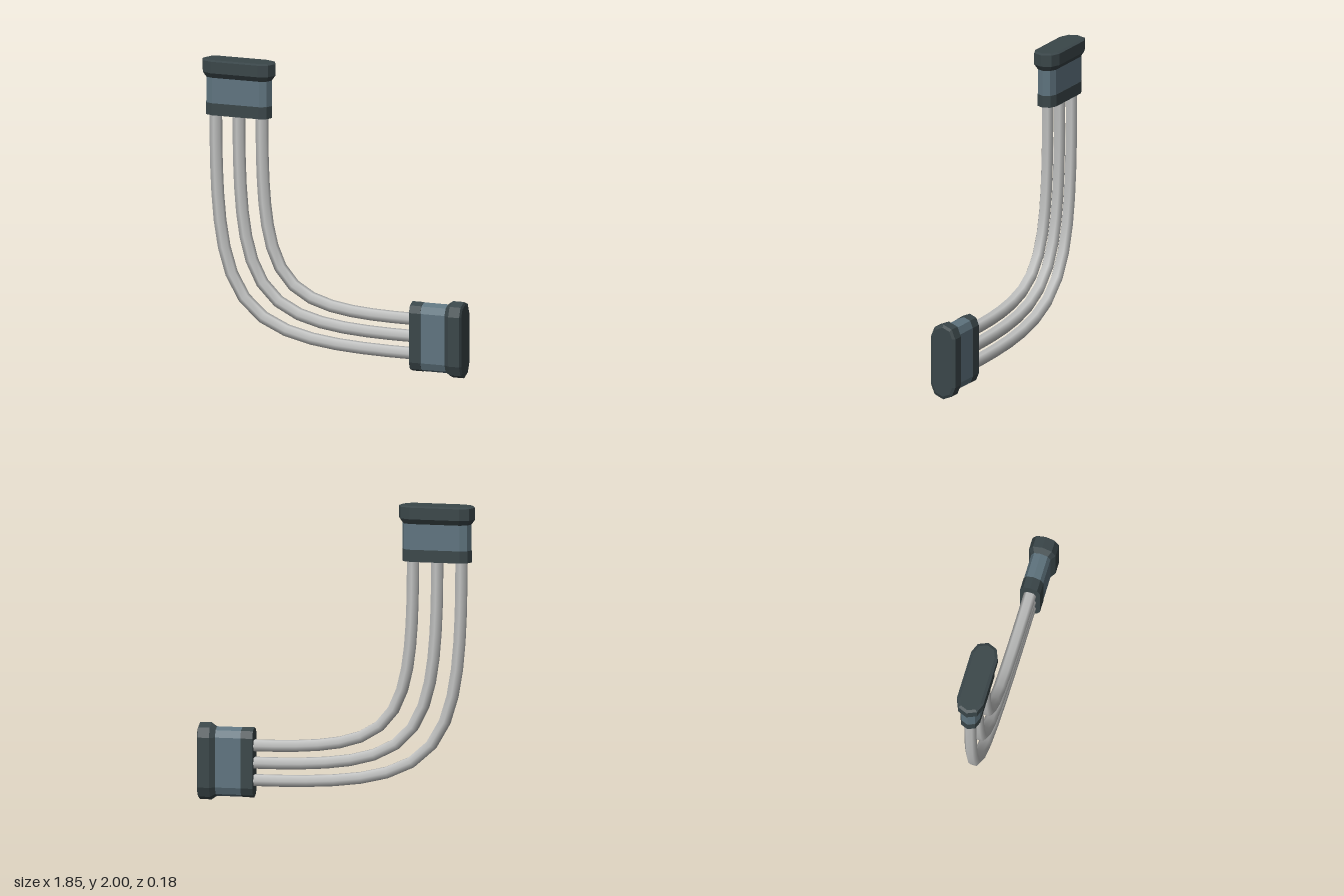
import * as THREE from 'three';

const HALF_STRAIGHT = 0.165;

// Stadium outline with four facets per rounded end, in the xz plane
function stadiumRing(y, r) {
  const ring = [];
  for (const side of [1, -1]) {
    for (let i = 0; i <= 4; i++) {
      const a = -Math.PI / 2 + (i * Math.PI) / 4;
      ring.push([side * (HALF_STRAIGHT + r * Math.cos(a)), y, side * r * Math.sin(a)]);
    }
  }
  return ring;
}

// Loft through [height, radius] sections, with optional end caps
function loftStadium(sections, capBottom, capTop) {
  const rings = sections.map(([y, r]) => stadiumRing(y, r));
  const n = rings[0].length;
  const pos = [];
  const tri = (a, b, c) => pos.push(...a, ...b, ...c);
  for (let k = 0; k < rings.length - 1; k++) {
    const lo = rings[k], hi = rings[k + 1];
    for (let i = 0; i < n; i++) {
      const j = (i + 1) % n;
      tri(lo[i], hi[i], hi[j]);
      tri(lo[i], hi[j], lo[j]);
    }
  }
  const bottom = rings[0], top = rings[rings.length - 1];
  for (let i = 1; i < n - 1; i++) {
    if (capBottom) tri(bottom[0], bottom[i], bottom[i + 1]);
    if (capTop) tri(top[0], top[i + 1], top[i]);
  }
  const geo = new THREE.BufferGeometry();
  geo.setAttribute('position', new THREE.Float32BufferAttribute(pos, 3));
  geo.computeVertexNormals();
  return geo;
}

export function createModel() {
  const group = new THREE.Group();
  const material = (name, color) => {
    const m = new THREE.MeshStandardMaterial({ color });
    m.name = name;
    return m;
  };
  const dark = material('dark slate', 0x3a4649);
  const slate = material('blue grey', 0x5f747f);
  const grey = material('light grey', 0xc2c3c2);

  const add = (parent, name, geo, mat) => {
    const mesh = new THREE.Mesh(geo, mat);
    mesh.name = name;
    parent.add(mesh);
  };

  // End connectors: collar, body and flared cap, built along +y
  const collar = loftStadium([[0, 0.067], [0.08, 0.067]], true, true);
  const body = loftStadium([[0.08, 0.065], [0.25, 0.065]], false, false);
  const cap = loftStadium([[0.25, 0.065], [0.285, 0.09], [0.362, 0.09], [0.37, 0.07]], true, true);
  const connector = (name, x, y, turn) => {
    const part = new THREE.Group();
    part.name = name;
    add(part, 'collar', collar, dark);
    add(part, 'connectorBody', body, slate);
    add(part, 'flaredCap', cap, dark);
    part.position.set(x, y, 0);
    part.rotation.z = turn;
    group.add(part);
  };
  connector('upperConnector', -0.67, 1.63, 0);
  connector('lowerConnector', 0.55, 0.257, -Math.PI / 2);

  // Three parallel pipes bending from the upper to the lower connector
  ['outerPipe', 'middlePipe', 'innerPipe'].forEach((name, i) => {
    const x = -0.833 + i * 0.162, y = 0.14 + i * 0.115;
    const start = new THREE.Vector3(x, 1.64, 0), end = new THREE.Vector3(0.56, y, 0);
    const bend = 0.1;
    const path = new THREE.CubicBezierCurve3(
      start,
      new THREE.Vector3(x, y + bend * (start.y - y), 0),
      new THREE.Vector3(x + bend * (end.x - x), y, 0),
      end
    );
    add(group, name, new THREE.TubeGeometry(path, 14, 0.042, 6), grey);
  });

  return group;
}
